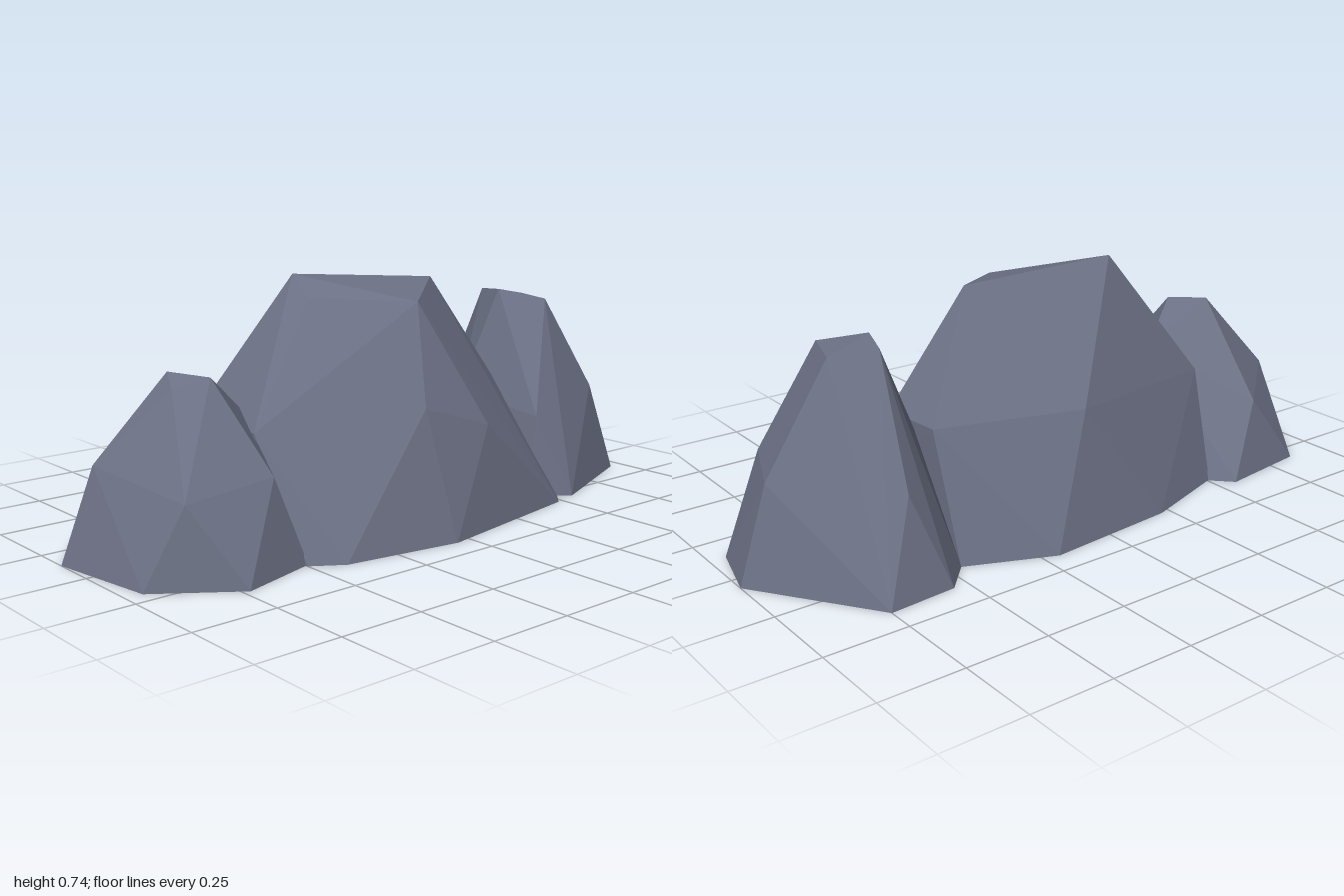
import * as THREE from 'three';
import { ConvexGeometry } from 'three/addons/geometries/ConvexGeometry.js';

export function createModel() {
  const group = new THREE.Group();
  group.name = 'rockCluster';
  const stone = new THREE.MeshStandardMaterial({ color: 0x6b7084 });
  stone.name = 'slate stone';

  // A faceted boulder: ground outline [x, z] plus upper corners [x, y, z]
  function rock(name, base, corners) {
    const points = [
      ...base.map(([x, z]) => new THREE.Vector3(x, 0, z)),
      ...corners.map((c) => new THREE.Vector3(...c)),
    ];
    const mesh = new THREE.Mesh(new ConvexGeometry(points), stone);
    mesh.name = name;
    group.add(mesh);
  }

  // Large middle boulder
  rock('middleRock',
    [[-0.42, -0.2], [-0.385, 0.22], [-0.29, 0.51], [0.12, 0.56], [0.3, 0.5], [0.36, 0.41],
      [0.415, 0.05], [0.32, -0.48], [0.28, -0.52], [-0.31, -0.46]],
    [[-0.095, 0.735, 0.24], [-0.01, 0.7, -0.23], [0.185, 0.66, 0], [0.005, 0.675, 0.26],
      [-0.185, 0.34, 0.53], [0.12, 0.34, 0.54], [0.31, 0.375, 0.08], [0.33, 0.3, -0.15],
      [-0.32, 0.37, -0.03], [0.01, 0.37, -0.48], [-0.19, 0.37, -0.465]]);

  // Low front boulder
  rock('frontRock',
    [[-0.355, 0.565], [-0.315, 0.86], [-0.135, 1], [0.2, 0.95], [0.36, 0.73], [0.29, 0.49],
      [-0.29, 0.5], [0, 0.45]],
    [[-0.04, 0.51, 0.71], [0.065, 0.5, 0.64], [0.03, 0.475, 0.74], [-0.105, 0.27, 0.91],
      [0.235, 0.22, 0.84], [0.25, 0.25, 0.57], [-0.285, 0.225, 0.7], [-0.01, 0.38, 0.49]]);

  // Tall back boulder
  rock('backRock',
    [[-0.055, -1], [0.14, -0.95], [0.3, -0.565], [0.2, -0.46], [-0.415, -0.75],
      [-0.4, -0.545], [-0.31, -0.46]],
    [[-0.08, 0.6, -0.72], [0.07, 0.6, -0.67], [-0.04, 0.63, -0.565], [-0.15, 0.62, -0.6],
      [-0.055, 0.28, -0.91], [0.13, 0.3, -0.835], [-0.33, 0.27, -0.635],
      [0.2, 0.25, -0.5], [-0.1, 0.3, -0.45]]);

  return group;
}
